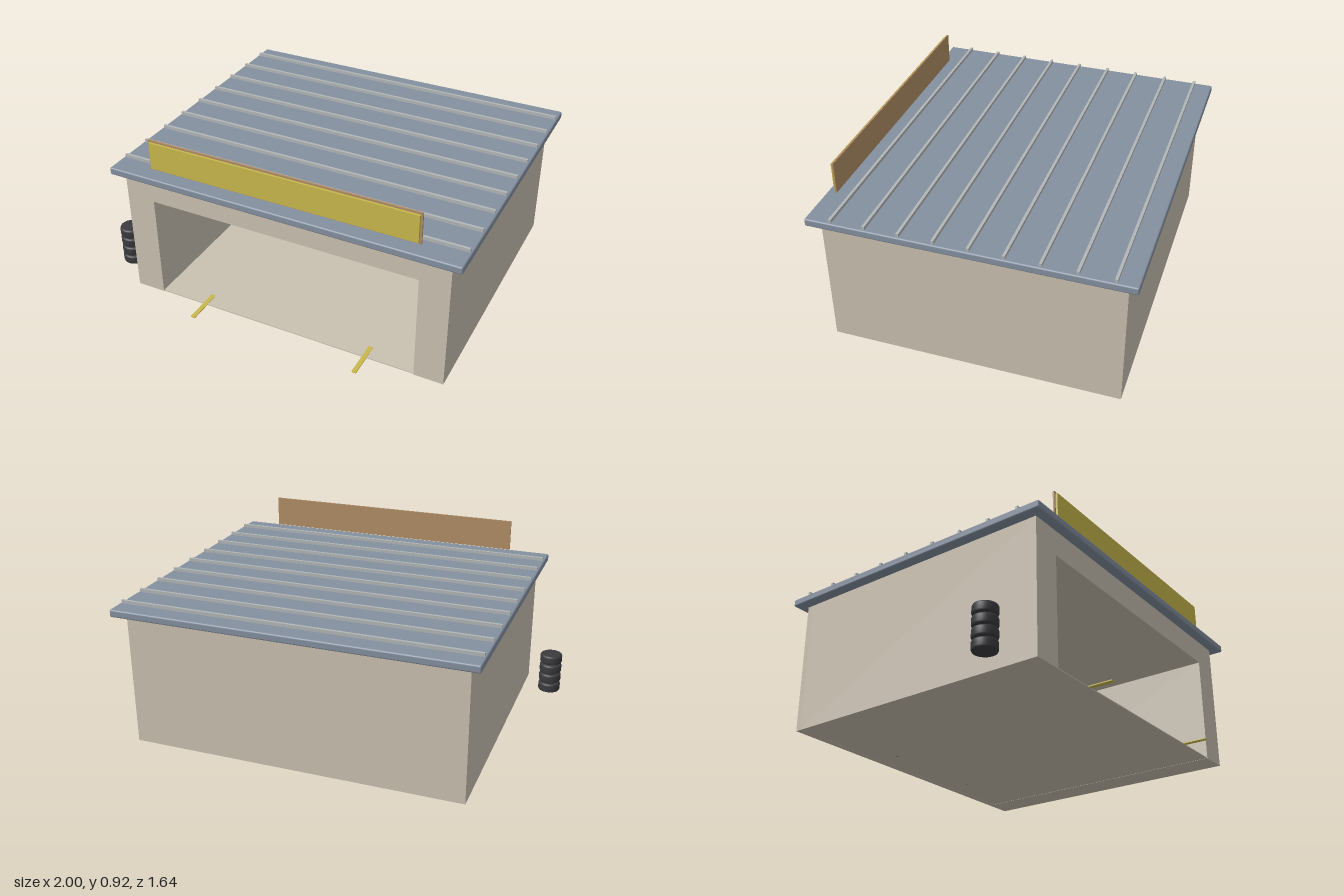
import * as THREE from 'three';
import { RoundedBoxGeometry } from 'three/addons/geometries/RoundedBoxGeometry.js';

const mat = (name, color) => {
  const m = new THREE.MeshStandardMaterial({ color });
  m.name = name;
  return m;
};

export function createModel() {
  const plaster = mat('plaster', 0xc9c0b0);
  const roofBlue = mat('roofBlue', 0x8490a0);
  const ribGrey = mat('ribGrey', 0xb2b6b6);
  const wood = mat('wood', 0xb08d66);
  const yellow = mat('yellow', 0xc9b84c);
  const rubber = mat('rubber', 0x3b3b3f);

  const model = new THREE.Group();
  model.name = 'garage';

  const add = (parent, name, geometry, material) => {
    const mesh = new THREE.Mesh(geometry, material);
    mesh.name = name;
    parent.add(mesh);
    return mesh;
  };
  const group = (name) => {
    const g = new THREE.Group();
    g.name = name;
    model.add(g);
    return g;
  };
  // Box given by its limits on each axis; a radius rounds its edges
  const box = (parent, name, material, [x0, x1], [y0, y1], [z0, z1], radius = 0) => {
    const size = [x1 - x0, y1 - y0, z1 - z0];
    const geometry = radius ? new RoundedBoxGeometry(...size, 2, radius) : new THREE.BoxGeometry(...size);
    add(parent, name, geometry, material).position.set((x0 + x1) / 2, (y0 + y1) / 2, (z0 + z1) / 2);
  };

  // Walls: side piers and lintel as one arch around the bay, closed at the back
  const [left, right, wallTop] = [-0.793, 0.937, 0.698];
  const [doorLeft, doorRight, doorTop] = [-0.638, 0.785, 0.565];
  const [back, inner, front] = [-0.766, -0.735, 0.702];
  const building = group('building');
  const arch = new THREE.Shape([
    [left, 0], [doorLeft, 0], [doorLeft, doorTop], [doorRight, doorTop],
    [doorRight, 0], [right, 0], [right, wallTop], [left, wallTop],
  ].map(([x, y]) => new THREE.Vector2(x, y)));
  const archGeometry = new THREE.ExtrudeGeometry(arch, { depth: front - inner, bevelEnabled: false });
  archGeometry.translate(0, 0, inner);
  add(building, 'walls', archGeometry, plaster);
  box(building, 'backWall', plaster, [left, right], [0, wallTop], [back, inner]);
  box(building, 'floor', plaster, [doorLeft, doorRight], [0.001, 0.006], [inner, front - 0.003]);

  // Roof slab with nine raised seams
  const roof = group('roof');
  box(roof, 'roofSlab', roofBlue, [-0.847, 0.998], [0.697, 0.736], [-0.82, 0.753], 0.008);
  for (let i = 0; i < 9; i++) {
    const z = -0.718 + i * 0.168;
    box(roof, 'roofSeam', ribGrey, [-0.838, 0.988], [0.734, 0.753], [z - 0.007, z + 0.007]);
  }

  // Sign board above the entrance
  const sign = group('sign');
  box(sign, 'signBoard', wood, [-0.636, 0.786], [0.757, 0.92], [0.689, 0.698]);
  box(sign, 'signPanel', yellow, [-0.626, 0.776], [0.767, 0.91], [0.698, 0.709]);

  // Workbench near the back wall
  const bench = group('workbench');
  box(bench, 'benchTop', wood, [-0.256, 0.406], [0.114, 0.128], [-0.7, -0.53]);
  for (const x of [-0.219, 0.369]) {
    box(bench, 'benchLeg', roofBlue, [x - 0.007, x + 0.007], [0, 0.114], [-0.622, -0.608]);
  }

  // Painted guide lines on the ground at the entrance
  const lines = group('guideLines');
  for (const x of [-0.38, 0.528]) {
    box(lines, 'guideLine', yellow, [x - 0.012, x + 0.012], [0.003, 0.008], [0.62, 0.82]);
  }

  // Stack of four tyres beside the building
  const tyres = group('tyreStack');
  const tyreProfile = [
    [0, -0.025], [0.05, -0.025], [0.057, -0.022], [0.06, -0.015],
    [0.06, 0.015], [0.057, 0.022], [0.05, 0.025], [0, 0.025],
  ].map(([r, y]) => new THREE.Vector2(r, y));
  const tyreGeometry = new THREE.LatheGeometry(tyreProfile, 32);
  for (let i = 0; i < 4; i++) {
    add(tyres, 'tyre', tyreGeometry, rubber).position.set(-0.94, 0.034 + i * 0.0565, 0.537);
  }

  return model;
}
